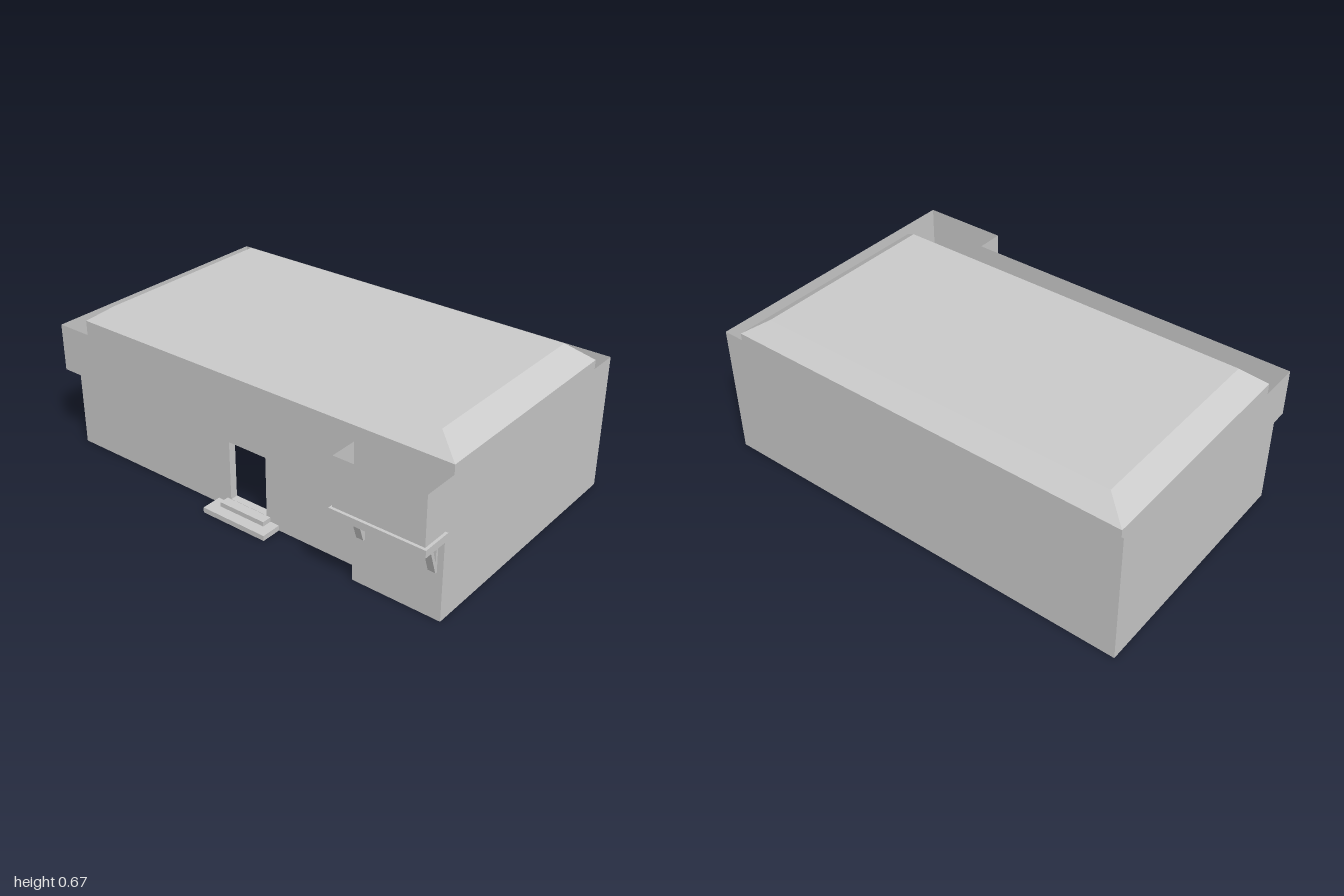
import * as THREE from 'three';

const grey = new THREE.MeshStandardMaterial({ color: 0xcccccc, side: THREE.DoubleSide });
grey.name = 'plainGrey';

export function createModel() {
  const group = new THREE.Group();
  const add = (name, geometry) => {
    const mesh = new THREE.Mesh(geometry, grey);
    mesh.name = name;
    group.add(mesh);
    return mesh;
  };

  // Flat-shaded quads between two matching lines of [x, y, z] points
  const strip = (a, b) => {
    const p = [];
    for (let i = 0; i < a.length - 1; i++) {
      p.push(...a[i], ...a[i + 1], ...b[i + 1], ...a[i], ...b[i + 1], ...b[i]);
    }
    const g = new THREE.BufferGeometry();
    g.setAttribute('position', new THREE.Float32BufferAttribute(p, 3));
    g.computeVertexNormals();
    return g;
  };
  // Upright wall along a plan path of [x, z] points
  const wall = (path, y0, y1) =>
    strip(path.map(([x, z]) => [x, y0, z]), path.map(([x, z]) => [x, y1, z]));
  const shape = (pts) => new THREE.Shape(pts.map(([x, y]) => new THREE.Vector2(x, y)));
  const ring = (x0, x1, z0, z1, y) =>
    [[x0, y, z1], [x1, y, z1], [x1, y, z0], [x0, y, z0], [x0, y, z1]];
  // Box by its limits; the underside can be left open
  const box = (name, x0, x1, y0, y1, z0, z1, openBelow = false) => {
    const g = new THREE.BoxGeometry(x1 - x0, y1 - y0, z1 - z0);
    g.translate((x0 + x1) / 2, (y0 + y1) / 2, (z0 + z1) / 2);
    if (openBelow) {
      const idx = Array.from(g.index.array);
      idx.splice(18, 6);
      g.setIndex(idx);
      g.clearGroups();
    }
    return add(name, g);
  };

  const R = 0.665, TOP = 0.612, SOFFIT = 0.397;
  const LOW = -0.455, UP = -0.53, BAY = -0.655;
  const BACK = -1, FRONT = 0.988, JOG = 0.585;
  const door = { z0: -0.105, z1: 0.09, y0: 0.045, y1: 0.32 };

  // Wall in the z-y plane with the doorway cut out
  const doorWall = (x, z0, z1, y0, y1) => {
    const s = shape([[z0, y0], [z1, y0], [z1, y1], [z0, y1]]);
    s.holes.push(new THREE.Path([
      [door.z0, door.y0 + 0.001], [door.z0, door.y1], [door.z1, door.y1], [door.z1, door.y0 + 0.001],
    ].map(([z, y]) => new THREE.Vector2(z, y))));
    return new THREE.ShapeGeometry(s).rotateY(-Math.PI / 2).translate(x, 0, 0);
  };

  // Outer walls
  add('frontWall', new THREE.ShapeGeometry(shape(
    [[UP, 0], [R, 0], [R, TOP], [BAY, TOP], [BAY, SOFFIT], [UP, SOFFIT]])).translate(0, 0, FRONT));
  add('backWall', new THREE.ShapeGeometry(shape(
    [[LOW, 0], [R, 0], [R, TOP], [UP, TOP], [UP, SOFFIT], [LOW, SOFFIT]])).rotateY(Math.PI)
    .scale(-1, 1, 1).translate(0, 0, BACK));
  add('plainSideWall', wall([[R, FRONT], [R, BACK]], 0, TOP));
  add('upperSideWall', wall([[UP, BACK], [UP, JOG], [BAY, JOG], [BAY, FRONT]], SOFFIT, TOP));
  add('lowerSideWall', doorWall(LOW, BACK, JOG, 0, SOFFIT));
  add('lowerCorner', wall([[LOW, JOG], [UP, JOG], [UP, FRONT]], 0, SOFFIT));
  add('soffit', strip([[UP, SOFFIT, BACK], [UP, SOFFIT, JOG]], [[LOW, SOFFIT, BACK], [LOW, SOFFIT, JOG]]));

  // Inner room walls, just inside the outer shell
  const I = { x0: -0.42, x1: 0.625, z0: -0.967, z1: 0.943, y0: 0.042, y1: 0.6 };
  add('innerWalls', wall([[I.x0, I.z1], [I.x1, I.z1], [I.x1, I.z0], [I.x0, I.z0]], I.y0, I.y1));
  add('innerDoorWall', doorWall(I.x0, I.z0, I.z1, I.y0, I.y1));

  // Door reveal joining the two walls
  const reveal = [[door.y0, door.z0], [door.y0, door.z1], [door.y1, door.z1], [door.y1, door.z0], [door.y0, door.z0]];
  add('doorReveal', strip(reveal.map(([y, z]) => [LOW, y, z]), reveal.map(([y, z]) => [I.x0, y, z])));

  // Raised roof with sloping edges
  const roofBase = ring(I.x0, I.x1, I.z0, I.z1, I.y1);
  const roofTop = ring(-0.345, 0.547, -0.863, 0.835, 0.672);
  add('roofSlopes', strip(roofBase, roofTop));
  add('roofTop', strip([roofTop[0], roofTop[1]], [roofTop[3], roofTop[2]]));

  // Door steps
  box('lowerStep', -0.55, LOW, 0, 0.024, -0.175, 0.155, true);
  box('upperStep', -0.5, LOW, 0.024, 0.045, -0.125, 0.11, true);

  // Ledge under the corner bay and its two brackets
  box('bayLedge', -0.668, UP, 0.365, SOFFIT, 0.577, 1);
  const arm = shape([[-0.625, 0.365], [-0.573, 0.31], [-0.54, 0.21], [-0.53, 0.21],
    [-0.53, 0.24], [-0.537, 0.24], [-0.562, 0.325], [-0.603, 0.365]]);
  for (const z of [0.61, 0.93]) {
    add('bracketArm', new THREE.ExtrudeGeometry(arm, { depth: 0.032, bevelEnabled: false }).translate(0, 0, z));
    box('bracketPlate', -0.541, UP, 0.21, 0.365, z, z + 0.032);
  }

  return group;
}
